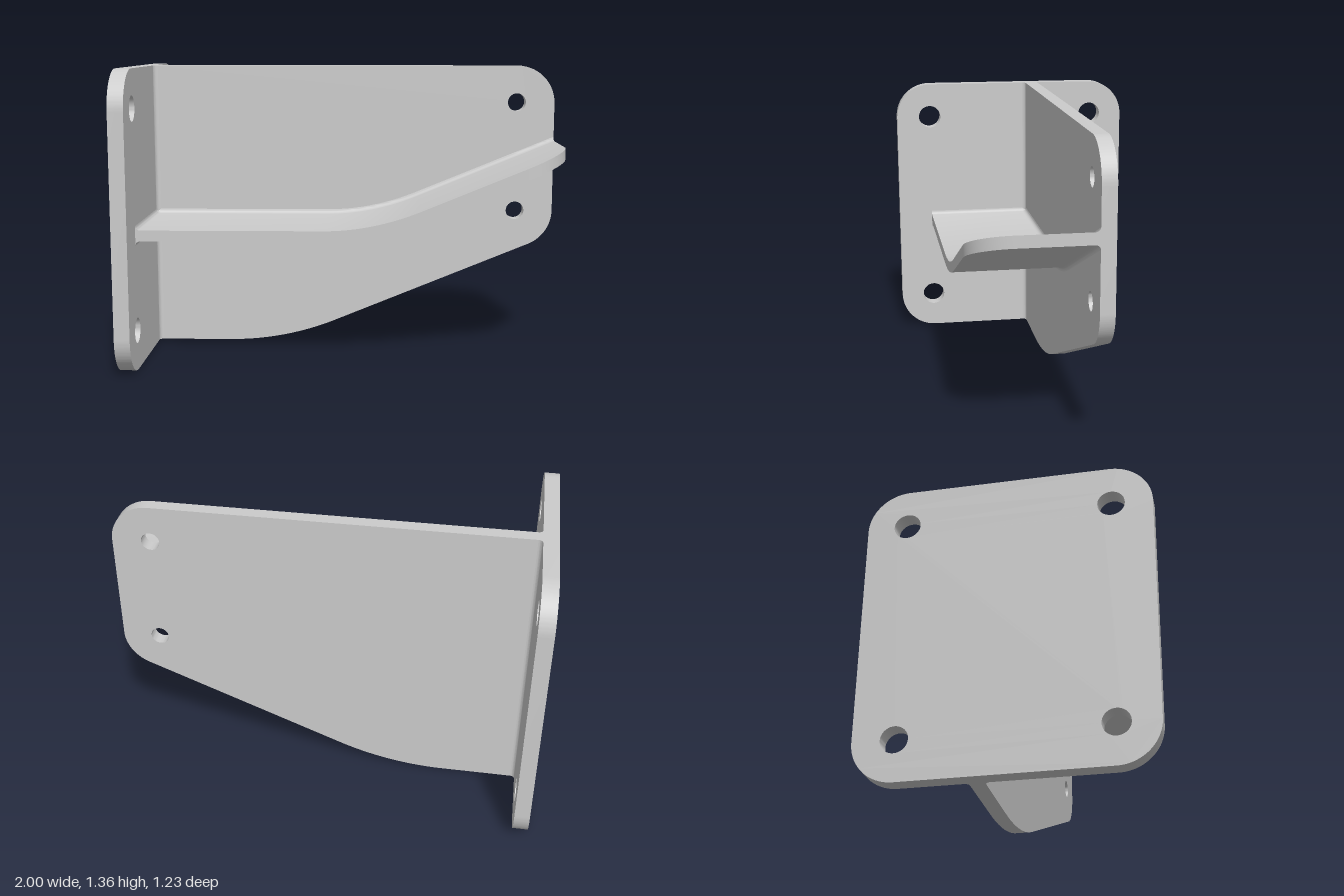
import * as THREE from 'three';
import { toCreasedNormals } from 'three/addons/utils/BufferGeometryUtils.js';

const H = 1.355;              // overall height
const FACE = -0.93;           // front of the mounting plate (x)
const BACK = -0.15, FRONT = -0.085; // faces of the upright web (z)
const R = 0.02;               // small weld fillet
const SLOPE = 0.41;

const material = new THREE.MeshStandardMaterial({ color: 0xcccccc });

function part(name, geometry) {
  const mesh = new THREE.Mesh(toCreasedNormals(geometry, 0.5), material);
  mesh.name = name;
  return mesh;
}

// Closed outline from [x, y, cornerRadius] corners
function roundedOutline(corners) {
  const shape = new THREE.Shape();
  const n = corners.length;
  corners.forEach(([x, y, r], i) => {
    const p = new THREE.Vector2(x, y);
    const [ax, ay] = corners[(i + n - 1) % n], [bx, by] = corners[(i + 1) % n];
    const u = new THREE.Vector2(ax, ay).sub(p).normalize();
    const v = new THREE.Vector2(bx, by).sub(p).normalize();
    const half = Math.acos(u.dot(v)) / 2;
    const t = r / Math.tan(half);
    const s = p.clone().addScaledVector(u, t);
    if (i === 0) shape.moveTo(s.x, s.y); else shape.lineTo(s.x, s.y);
    if (r === 0) return;
    const c = p.clone().addScaledVector(u.clone().add(v).normalize(), r / Math.sin(half));
    const e = p.clone().addScaledVector(v, t);
    shape.absarc(c.x, c.y, r, Math.atan2(s.y - c.y, s.x - c.x), Math.atan2(e.y - c.y, e.x - c.x), false);
  });
  shape.closePath();
  return shape;
}

function addHole(shape, x, y, r) {
  shape.holes.push(new THREE.Path().absarc(x, y, r, 0, Math.PI * 2, true));
}

const extrude = (shape, depth) =>
  new THREE.ExtrudeGeometry(shape, { depth, bevelEnabled: false, curveSegments: 20 });

function mountingPlate() {
  const w = 0.615, r = 0.18;
  const shape = roundedOutline([[-w, 0, r], [w, 0, r], [w, H, r], [-w, H, r]]);
  for (const z of [-0.44, 0.44]) for (const y of [0.18, 1.18]) addHole(shape, z, y, 0.058);
  return part('mountingPlate', extrude(shape, FACE + 1).rotateY(Math.PI / 2).translate(-1, 0, 0));
}

function uprightWeb() {
  // The lower edge starts level, then sweeps upward to the tip
  const shape = roundedOutline([
    [FACE - 0.02, 0, 0], [-0.305, 0, 1.37],
    [1, 1.305 * SLOPE, 0.18], [1, H, 0.18], [FACE - 0.02, H, 0],
  ]);
  addHole(shape, 0.82, 1.18, 0.043);
  addHole(shape, 0.82, 0.655, 0.043);
  return part('uprightWeb', extrude(shape, FRONT - BACK).translate(0, 0, BACK));
}

// Concave strip where the web meets the plate; dir is the side in z
function cornerFillet(name, z, dir) {
  const s = new THREE.Shape();
  s.moveTo(FACE, -z);
  s.lineTo(FACE + R, -z);
  for (let i = 1; i <= 6; i++) {
    const a = (i / 6) * Math.PI / 2;
    s.lineTo(FACE + R - R * Math.sin(a), -z - dir * (R - R * Math.cos(a)));
  }
  s.closePath();
  return part(name, extrude(s, H).rotateX(-Math.PI / 2));
}

function shelf() {
  const bend = 0.127, t = 0.22, base = 0.637, thick = 0.049;
  const depth = 0.44, cornerR = 0.19, steps = 5;

  // Stations along x: plate fillet, bend, rounded free corner
  const xs = [];
  for (let i = 0; i <= 5; i++) xs.push(FACE + R * (1 - Math.cos(i / 5 * Math.PI / 2)));
  for (let i = 0; i <= 18; i++) xs.push(bend - t + 2 * t * i / 18);
  for (let i = 0; i <= 14; i++) xs.push(1 - cornerR + cornerR * Math.sin(i / 14 * Math.PI / 2));

  const sections = xs.map((x) => {
    const d = x - (bend - t);
    const rise = d <= 0 ? 0 : d < 2 * t ? SLOPE * d * d / (4 * t) : SLOPE * (x - bend);
    const grade = SLOPE * THREE.MathUtils.clamp(d / (2 * t), 0, 1);
    const k = Math.max(0, FACE + R - x);
    const flare = R - Math.sqrt(Math.max(0, R * R - k * k));
    const top = base + rise + flare;
    const bottom = base + rise - thick * Math.hypot(1, grade) - flare;
    const c = Math.max(0, x - (1 - cornerR));
    const zEnd = depth - cornerR + Math.sqrt(Math.max(0, cornerR * cornerR - c * c));
    const upper = [], lower = [];
    for (let i = 0; i <= steps; i++) {
      const a = (i / steps) * Math.PI / 2;
      const z = FRONT + R - R * Math.cos(a), lift = R - R * Math.sin(a);
      upper.push(new THREE.Vector3(x, top + lift, z));
      lower.unshift(new THREE.Vector3(x, bottom - lift, z));
    }
    upper.push(new THREE.Vector3(x, top, zEnd));
    lower.unshift(new THREE.Vector3(x, bottom, zEnd));
    return [...upper, ...lower];
  });

  // Skin between neighbouring sections, then cap the free end
  const points = [];
  const quad = (a, b, c, d) => points.push(a, b, c, a, c, d);
  const n = sections[0].length;
  for (let i = 0; i < sections.length - 1; i++) {
    const s = sections[i], e = sections[i + 1];
    for (let j = 0; j < n - 1; j++) quad(s[j], s[j + 1], e[j + 1], e[j]);
  }
  const end = sections[sections.length - 1];
  for (let j = 0; j < n / 2 - 1; j++) quad(end[j], end[j + 1], end[n - 2 - j], end[n - 1 - j]);
  return part('bentShelf', new THREE.BufferGeometry().setFromPoints(points));
}

export function createModel() {
  const group = new THREE.Group();
  group.name = 'mountingBracket';
  group.add(
    mountingPlate(),
    uprightWeb(),
    cornerFillet('frontFillet', FRONT, 1),
    cornerFillet('backFillet', BACK, -1),
    shelf(),
  );
  return group;
}
